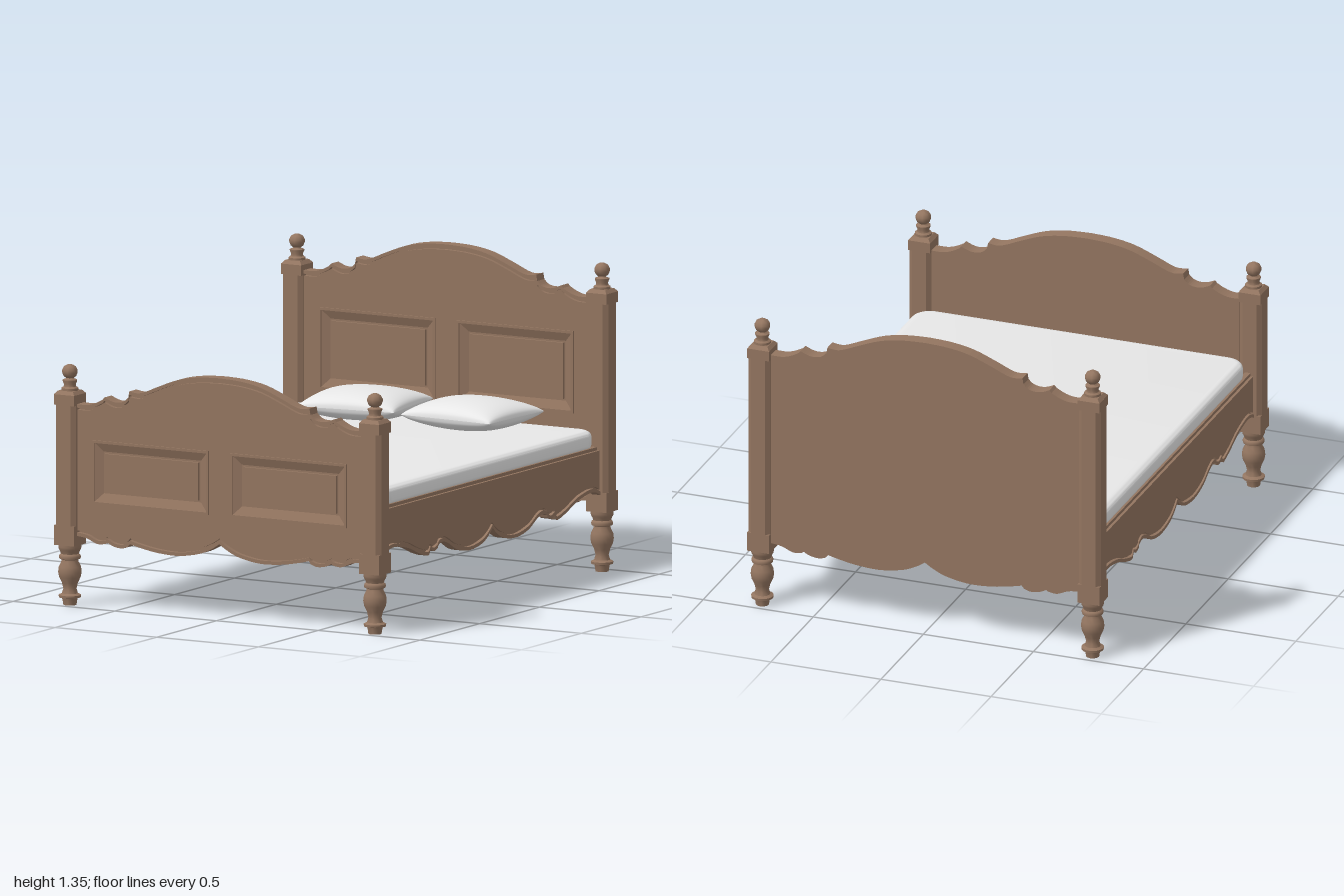
import * as THREE from 'three';
import { toCreasedNormals } from 'three/addons/utils/BufferGeometryUtils.js';

const wood = new THREE.MeshStandardMaterial({ color: 0x937560 });
wood.name = 'wood';
const cloth = new THREE.MeshStandardMaterial({ color: 0xeaeaea });
cloth.name = 'cloth';

function add(parent, name, geometry, material = wood, x = 0, y = 0, z = 0) {
  const mesh = new THREE.Mesh(geometry, material);
  mesh.name = name;
  mesh.position.set(x, y, z);
  parent.add(mesh);
  return mesh;
}

const box = (w, h, d) => new THREE.BoxGeometry(w, h, d);
const v2 = ([x, y]) => new THREE.Vector2(x, y);
const extrude = (shape, depth) => new THREE.ExtrudeGeometry(shape, { depth, bevelEnabled: false });

// Mirrored scalloped edge, left to right; each run is a smooth curve, runs meet at sharp cusps
function scallop(runs) {
  const half = runs.flatMap((run) => new THREE.SplineCurve(run.map(v2)).getPoints(run.length * 3));
  const left = half.slice(1).reverse().map((p) => new THREE.Vector2(-p.x, p.y));
  return [...left, ...half];
}
const shifted = (pts, dy) => pts.map((p) => new THREE.Vector2(p.x, p.y + dy));
const between = (low, high) => new THREE.Shape([...low, ...[...high].reverse()]);

const crest = scallop([
  [[0, 1.345], [0.1, 1.34], [0.2, 1.322], [0.3, 1.284], [0.36, 1.258], [0.4, 1.247], [0.443, 1.252]],
  [[0.448, 1.225], [0.47, 1.206], [0.5, 1.199], [0.53, 1.202], [0.565, 1.216]],
  [[0.575, 1.205], [0.61, 1.187], [0.65, 1.176], [0.7, 1.176]],
]);
const apron = scallop([
  [[0, 0.325], [0.04, 0.3], [0.1, 0.275], [0.2, 0.258], [0.3, 0.262], [0.38, 0.275], [0.44, 0.289]],
  [[0.45, 0.276], [0.48, 0.267], [0.52, 0.272], [0.55, 0.286]],
  [[0.56, 0.28], [0.6, 0.276], [0.65, 0.296], [0.7, 0.303]],
]);
const railEdge = scallop([
  [[0, 0.322], [0.04, 0.29], [0.1, 0.264], [0.2, 0.253], [0.3, 0.272], [0.37, 0.308], [0.42, 0.322], [0.455, 0.312]],
  [[0.46, 0.3], [0.49, 0.291], [0.52, 0.303]],
  [[0.53, 0.284], [0.55, 0.28], [0.62, 0.301], [0.7, 0.333], [0.8, 0.354], [0.86, 0.352], [0.9, 0.335]],
]);

// Edge band and the start of the face, leaving a groove between them
const bandWidth = 0.015, faceInset = 0.024;

function rectPoints([x0, y0, x1, y1], inset = 0) {
  return [[x0 + inset, y0 + inset], [x1 - inset, y0 + inset], [x1 - inset, y1 - inset], [x0 + inset, y1 - inset]];
}
const frameShape = (rect, outset) => {
  const shape = new THREE.Shape(rectPoints(rect, -outset).map(v2));
  shape.holes.push(new THREE.Path(rectPoints(rect).map(v2)));
  return shape;
};

// Mitred slope running from the face down into a sunk panel
function bevelRing(rect, inset, zOuter, zInner) {
  const o = rectPoints(rect).map((p) => [...p, zOuter]);
  const n = rectPoints(rect, inset).map((p) => [...p, zInner]);
  const pos = [];
  for (let i = 0; i < 4; i++) {
    const j = (i + 1) % 4;
    pos.push(...o[i], ...o[j], ...n[j], ...o[i], ...n[j], ...n[i]);
  }
  const g = new THREE.BufferGeometry();
  g.setAttribute('position', new THREE.Float32BufferAttribute(pos, 3));
  g.computeVertexNormals();
  return g;
}

// Head or foot board, back at local z = 0
function board(name, drop, panelLow, panelHigh) {
  const group = new THREE.Group();
  group.name = name;
  const top = shifted(crest, -drop);
  const rects = [[0.064, panelLow, 0.615, panelHigh], [-0.615, panelLow, -0.064, panelHigh]];
  add(group, 'boardBack', extrude(between(apron, top), 0.04));
  const face = between(shifted(apron, faceInset), shifted(top, -faceInset));
  face.holes = rects.map((r) => new THREE.Path(rectPoints(r).map(v2)));
  add(group, 'boardFace', extrude(face, 0.017), wood, 0, 0, 0.04);
  add(group, 'crestTrim', extrude(between(shifted(top, -bandWidth), top), 0.02), wood, 0, 0, 0.04);
  add(group, 'apronTrim', extrude(between(apron, shifted(apron, bandWidth)), 0.02), wood, 0, 0, 0.04);
  for (const r of rects) {
    add(group, 'panelBead', extrude(frameShape(r, 0.011), 0.007), wood, 0, 0, 0.057);
    add(group, 'panelBevel', bevelRing(r, 0.037, 0.057, 0.0415));
    const [x0, y0, x1, y1] = r;
    add(group, 'panelField', box(x1 - x0 - 0.09, y1 - y0 - 0.09, 0.018), wood, (x0 + x1) / 2, (y0 + y1) / 2, 0.043);
  }
  return group;
}

const turned = (profile) => toCreasedNormals(new THREE.LatheGeometry(profile.map(v2), 24), 0.7);
const legGeometry = turned([
  [0, 0], [0.028, 0], [0.031, 0.02], [0.034, 0.03], [0.047, 0.033], [0.048, 0.043], [0.034, 0.05], [0.028, 0.07],
  [0.034, 0.095], [0.046, 0.12], [0.05, 0.142], [0.047, 0.165], [0.037, 0.185], [0.035, 0.195], [0.045, 0.199],
  [0.047, 0.208], [0.044, 0.216], [0.038, 0.22], [0.042, 0.232], [0.047, 0.24], [0.049, 0.25], [0.049, 0.262],
]);
const finialGeometry = turned([
  [0.036, 0], [0.036, 0.01], [0.027, 0.016], [0.025, 0.025], [0.031, 0.04], [0.031, 0.045], [0.02, 0.049], [0.017, 0.053],
  [0.027, 0.061], [0.033, 0.076], [0.033, 0.087], [0.026, 0.101], [0.013, 0.109], [0, 0.112],
]);

// Turned leg, square block with stopped chamfers, cap and ball finial
function post(name, x, z, top) {
  const group = new THREE.Group();
  group.name = name;
  group.position.set(x, 0, z);
  const low = 0.345, high = top - 0.06, a = 0.05, b = 0.032;
  add(group, 'leg', legGeometry);
  add(group, 'lowerBlock', box(0.1, low - 0.26, 0.1), wood, 0, (low + 0.26) / 2, 0);
  const section = new THREE.Shape([[a, -b], [a, b], [b, a], [-b, a], [-a, b], [-a, -b], [-b, -a], [b, -a]].map(v2));
  add(group, 'chamferedShaft', extrude(section, high - low).rotateX(-Math.PI / 2), wood, 0, low, 0);
  add(group, 'upperBlock', box(0.1, top - 0.015 - high, 0.1), wood, 0, (top - 0.015 + high) / 2, 0);
  const cap = new THREE.CylinderGeometry(0.052, 0.0707, 0.015, 4).toNonIndexed().rotateY(Math.PI / 4);
  cap.computeVertexNormals();
  add(group, 'cap', cap, wood, 0, top - 0.0075, 0);
  add(group, 'finial', finialGeometry, wood, 0, top, 0);
  return group;
}

// Side rail, built facing +z and turned to either side
function sideRail(name, side) {
  const group = new THREE.Group();
  group.name = name;
  const top = [[-0.9, 0.526], [0.9, 0.526]].map(v2);
  add(group, 'railBack', extrude(between(railEdge, top), 0.025), wood, 0, 0, 0.73);
  add(group, 'railFace', extrude(between(shifted(railEdge, faceInset), top), 0.012), wood, 0, 0, 0.755);
  add(group, 'railTrim', extrude(between(railEdge, shifted(railEdge, bandWidth)), 0.016), wood, 0, 0, 0.755);
  add(group, 'railLip', box(1.8, 0.014, 0.025), wood, 0, 0.533, 0.7425);
  group.rotation.y = side * Math.PI / 2;
  return group;
}

function mattressGeometry() {
  const w = 0.75, l = 0.907, r = 0.085;
  const s = new THREE.Shape();
  s.absarc(w - r, l - r, r, 0, Math.PI / 2);
  s.absarc(r - w, l - r, r, Math.PI / 2, Math.PI);
  s.absarc(r - w, r - l, r, Math.PI, Math.PI * 1.5);
  s.absarc(w - r, r - l, r, Math.PI * 1.5, Math.PI * 2);
  const g = new THREE.ExtrudeGeometry(s, {
    depth: 0.035, bevelThickness: 0.025, bevelSize: 0.035, bevelOffset: -0.035, bevelSegments: 6, curveSegments: 8,
  });
  return toCreasedNormals(g.rotateX(-Math.PI / 2), 0.6);
}

// Cushion stretched between four corners: back left, back right, front right, front left
function pillowGeometry([bl, br, fr, fl]) {
  const g = new THREE.BoxGeometry(2, 2, 2, 24, 1, 24);
  const p = g.attributes.position;
  for (let i = 0; i < p.count; i++) {
    const u0 = Math.sin(p.getX(i) * Math.PI / 2), v0 = Math.sin(p.getZ(i) * Math.PI / 2);
    const puff = Math.sqrt(Math.max(0, (1 - u0 * u0) * (1 - v0 * v0)));
    const u = u0 * (1 - 0.02 * (1 - v0 * v0)), v = v0 * (1 - 0.02 * (1 - u0 * u0));
    const mix = (k) => ((1 - v) * ((1 - u) * bl[k] + (1 + u) * br[k]) + (1 + v) * ((1 - u) * fl[k] + (1 + u) * fr[k])) / 4;
    p.setXYZ(i, mix(0), p.getY(i) * 0.068 * Math.pow(puff, 0.8), mix(1));
  }
  g.computeVertexNormals();
  return g;
}

export function createModel() {
  const bed = new THREE.Group();
  bed.name = 'bed';

  const headboard = board('headboard', 0, 0.682, 1.013);
  headboard.position.z = -0.981;
  const footboard = board('footboard', 0.307, 0.457, 0.71);
  footboard.position.z = 0.916;
  bed.add(headboard, footboard);

  for (const side of [1, -1]) {
    const label = side > 0 ? 'left' : 'right';
    bed.add(post(label + 'HeadPost', side * 0.75, -0.95, 1.214));
    bed.add(post(label + 'FootPost', side * 0.75, 0.95, 0.922));
    bed.add(sideRail(label + 'Rail', side));
  }

  // Wide base boards with gaps between them
  for (let i = 0; i < 4; i++) add(bed, 'baseBoard', box(1.48, 0.03, 0.385), wood, 0, 0.472, -0.72 + i * 0.48);

  add(bed, 'mattress', mattressGeometry(), cloth, 0, 0.553, -0.015);
  add(bed, 'mattressBase', box(1.44, 0.06, 1.77), cloth, 0, 0.517, -0.015);
  add(bed, 'leftPillow', pillowGeometry([[0.08, -0.855], [0.535, -0.83], [0.51, -0.415], [0.06, -0.44]]), cloth, 0, 0.686, 0);
  add(bed, 'rightPillow', pillowGeometry([[-0.49, -0.825], [-0.04, -0.88], [0.01, -0.465], [-0.43, -0.405]]), cloth, 0, 0.686, 0);
  return bed;
}
